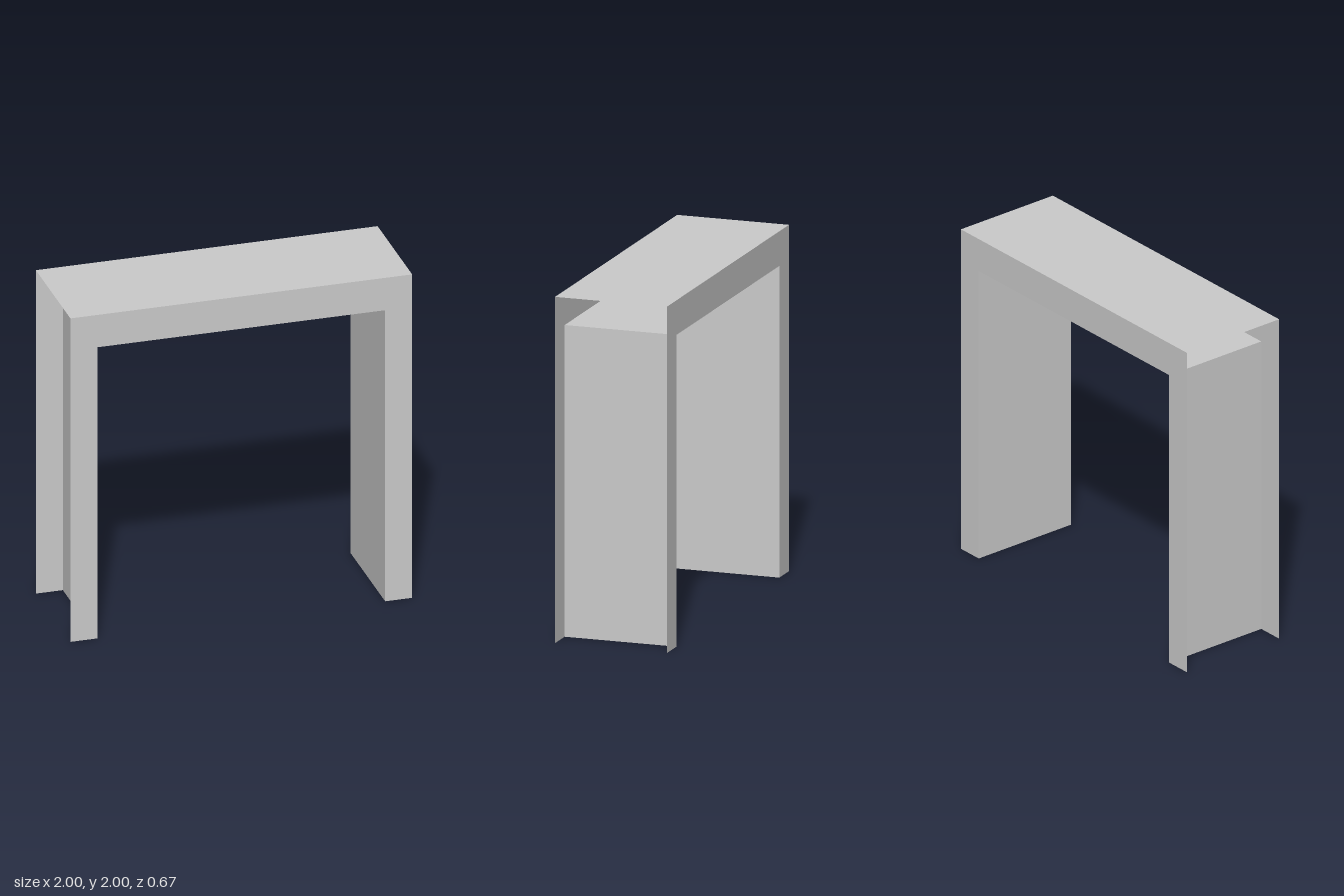
import * as THREE from 'three';

const HALF_WIDTH = 1, HEIGHT = 2, HALF_DEPTH = 0.333;
const INNER_X = 0.842, INNER_Y = 1.8;

export function createModel() {
  const group = new THREE.Group();
  group.name = 'doorSurround';
  const material = new THREE.MeshStandardMaterial({ color: 0xcccccc, side: THREE.DoubleSide });

  const addSheet = (name, geometry, position, rotation = [0, 0, 0]) => {
    const mesh = new THREE.Mesh(geometry, material);
    mesh.name = name;
    mesh.position.set(...position);
    mesh.rotation.set(...rotation);
    group.add(mesh);
  };

  // Flat portal outline shared by the front and back faces
  const outline = new THREE.Shape([
    [-HALF_WIDTH, 0], [-INNER_X, 0], [-INNER_X, INNER_Y], [INNER_X, INNER_Y],
    [INNER_X, 0], [HALF_WIDTH, 0], [HALF_WIDTH, HEIGHT], [-HALF_WIDTH, HEIGHT],
  ].map(([x, y]) => new THREE.Vector2(x, y)));
  const face = new THREE.ShapeGeometry(outline);
  addSheet('frontFace', face, [0, 0, HALF_DEPTH]);
  addSheet('backFace', face, [0, 0, -HALF_DEPTH], [0, Math.PI, 0]);

  // Top cover and the underside of the header
  const depth = 2 * HALF_DEPTH;
  addSheet('topPanel', new THREE.PlaneGeometry(2 * HALF_WIDTH, depth), [0, HEIGHT, 0], [-Math.PI / 2, 0, 0]);
  addSheet('headerUnderside', new THREE.PlaneGeometry(2 * INNER_X, depth), [0, INNER_Y, 0], [Math.PI / 2, 0, 0]);

  // Inner side linings, facing the opening; the outer ends stay open
  const lining = new THREE.PlaneGeometry(depth, INNER_Y);
  for (const [name, side] of [['leftLining', 1], ['rightLining', -1]]) {
    addSheet(name, lining, [side * INNER_X, INNER_Y / 2, 0], [0, -side * Math.PI / 2, 0]);
  }

  return group;
}
